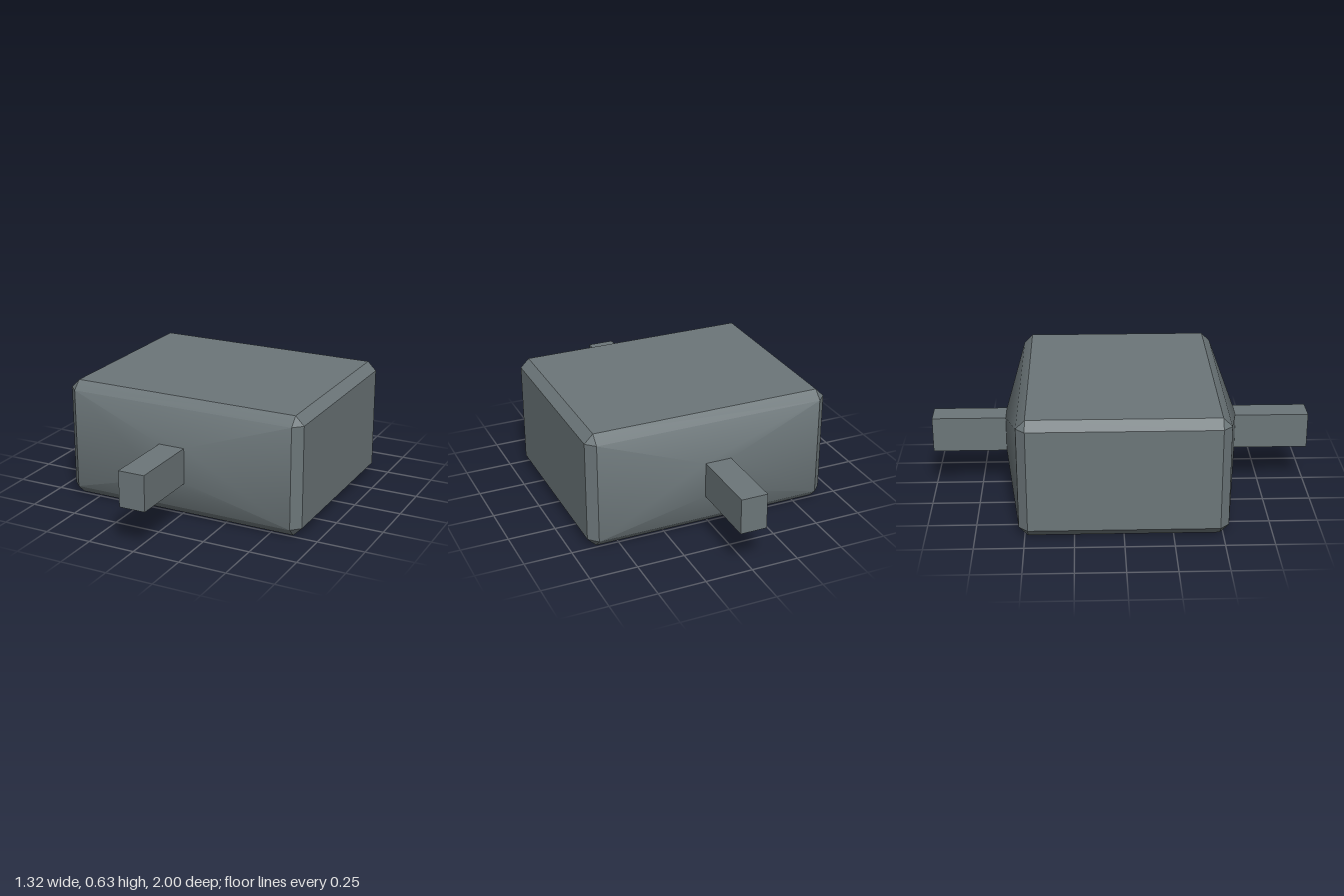
import * as THREE from 'three';
import { toCreasedNormals } from 'three/addons/utils/BufferGeometryUtils.js';
import { ConvexGeometry } from 'three/addons/geometries/ConvexGeometry.js';

const W = 0.66, H = 0.315, D = 0.53, BEVEL = 0.046; // body half sizes and bevel
const STUB = { w: 0.07, h: 0.094, start: 0.61, end: 1 }; // stub half section and z range

// Bevelled block whose two ends taper out to the stubs
function bodyGeometry() {
  const points = [];
  for (const x of [-1, 1]) for (const y of [-1, 1]) for (const z of [-1, 1]) {
    const add = (px, py, pz) => points.push(new THREE.Vector3(x * px, y * py, z * pz));
    add(W, H - BEVEL, D - BEVEL);
    add(W - BEVEL, H, D - BEVEL);
    add(W - BEVEL, H - BEVEL, D);
    add(STUB.w, STUB.h, STUB.start);
  }
  return toCreasedNormals(new ConvexGeometry(points), THREE.MathUtils.degToRad(30));
}

export function createModel() {
  const model = new THREE.Group();
  model.name = 'taperedBlock';
  const grey = new THREE.MeshStandardMaterial({ color: 0x6c7679 });
  grey.name = 'slateGrey';

  const body = new THREE.Mesh(bodyGeometry(), grey);
  body.name = 'body';
  body.position.y = H;
  model.add(body);

  // Square stubs at front and back
  const length = STUB.end - STUB.start;
  const stubGeometry = new THREE.BoxGeometry(STUB.w * 2, STUB.h * 2, length);
  for (const [name, side] of [['frontStub', 1], ['backStub', -1]]) {
    const stub = new THREE.Mesh(stubGeometry, grey);
    stub.name = name;
    stub.position.set(0, H, side * (STUB.start + length / 2));
    model.add(stub);
  }
  return model;
}
